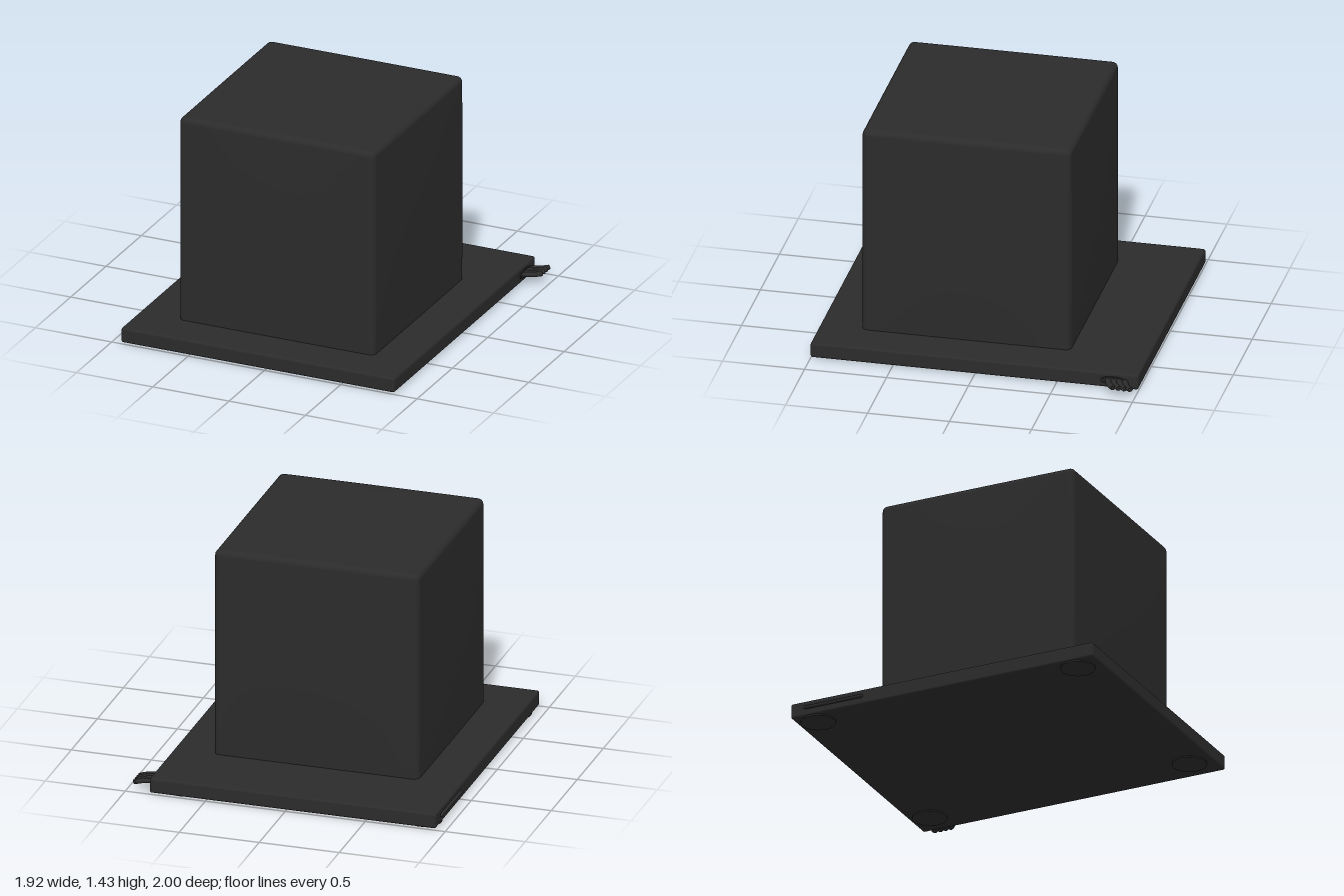
import * as THREE from 'three';
import { mergeVertices } from 'three/addons/utils/BufferGeometryUtils.js';

const charcoal = new THREE.MeshStandardMaterial({ color: 0x2b2b2b });
charcoal.name = 'charcoal';

function addPart(group, name, geometry, x, y, z) {
  const mesh = new THREE.Mesh(geometry, charcoal);
  mesh.name = name;
  mesh.position.set(x, y, z);
  group.add(mesh);
  return mesh;
}

// Box with rounded edges whose faces swell gently towards their centres.
function softBox(w, h, d, radius, swell = [0, 0, 0]) {
  const edge = 4, middle = 10, n = edge * 2 + middle;
  const half = [w / 2, h / 2, d / 2];
  const geo = new THREE.BoxGeometry(2, 2, 2, n, n, n);
  geo.deleteAttribute('uv');
  geo.deleteAttribute('normal');
  const pos = geo.attributes.position;
  // Fine steps inside the rounded edge, even steps across the flat
  const spread = (u, size) => {
    const i = Math.round((u + 1) * n / 2), flat = size - radius;
    if (i < edge) return -flat - radius * Math.tan((1 - i / edge) * Math.PI / 4);
    if (i > n - edge) return flat + radius * Math.tan((1 - (n - i) / edge) * Math.PI / 4);
    return -flat + 2 * flat * (i - edge) / middle;
  };
  for (let v = 0; v < pos.count; v++) {
    const p = [pos.getX(v), pos.getY(v), pos.getZ(v)].map((u, a) => spread(u, half[a]));
    const core = p.map((c, a) => THREE.MathUtils.clamp(c, radius - half[a], half[a] - radius));
    const out = new THREE.Vector3(...p.map((c, a) => c - core[a])).setLength(radius).toArray();
    const q = core.map((c, a) => c + out[a]);
    const t = q.map((c, a) => c / half[a]);
    const r = q.map((c, a) => {
      const b = (a + 1) % 3, e = (a + 2) % 3;
      return c + swell[a] * t[a] * (1 - t[b] ** 2) * (1 - t[e] ** 2);
    });
    pos.setXYZ(v, ...r);
  }
  const merged = mergeVertices(geo, 1e-5);
  merged.computeVertexNormals();
  return merged;
}

export function createModel() {
  const model = new THREE.Group();
  model.name = 'boxOnPlinth';

  // Main body and flat base
  addPart(model, 'cubeBody', softBox(1.28, 1.34, 1.275, 0.035, [0.012, 0.015, 0.01]), -0.04, 0.745, 0.107);
  addPart(model, 'basePlate', softBox(1.79, 0.095, 2, 0.014), -0.045, 0.0555, 0);

  // Feet under the four corners
  for (const x of [-0.83, 0.67])
    for (const z of [-0.87, 0.85])
      addPart(model, 'foot', new THREE.CylinderGeometry(0.105, 0.105, 0.012, 32), x, 0.006, z);

  // Narrow tab on the right-hand edge
  addPart(model, 'sideTab', softBox(0.04, 0.02, 0.39, 0.009), -0.935, 0.06, -0.715);

  // Cable outlet on the left-hand edge
  const outlet = addPart(model, 'cableOutlet', new THREE.TorusGeometry(0.075, 0.008, 8, 32), 0.849, 0.056, -0.85);
  outlet.rotation.y = Math.PI / 2;
  outlet.scale.y = 0.32;

  // Flat ribbon of wires sweeping backwards out of the outlet
  const cable = new THREE.Group();
  cable.name = 'ribbonCable';
  for (let i = 0; i < 4; i++) {
    const z = -0.922 + i * 0.035;
    const path = new THREE.QuadraticBezierCurve3(
      new THREE.Vector3(0.82, 0, z + 0.005),
      new THREE.Vector3(0.90, 0, z),
      new THREE.Vector3(0.95, 0, z - 0.055));
    const wire = addPart(cable, 'wire', new THREE.TubeGeometry(path, 12, 0.019, 10), 0, 0.057, 0);
    wire.scale.y = 0.75;
    // Cut end of the wire
    const end = addPart(cable, 'wireEnd', new THREE.CircleGeometry(0.019, 10), 0.95, 0.057, z - 0.055);
    end.rotation.y = Math.atan2(0.05, -0.055);
    end.scale.y = 0.75;
  }
  model.add(cable);
  return model;
}
